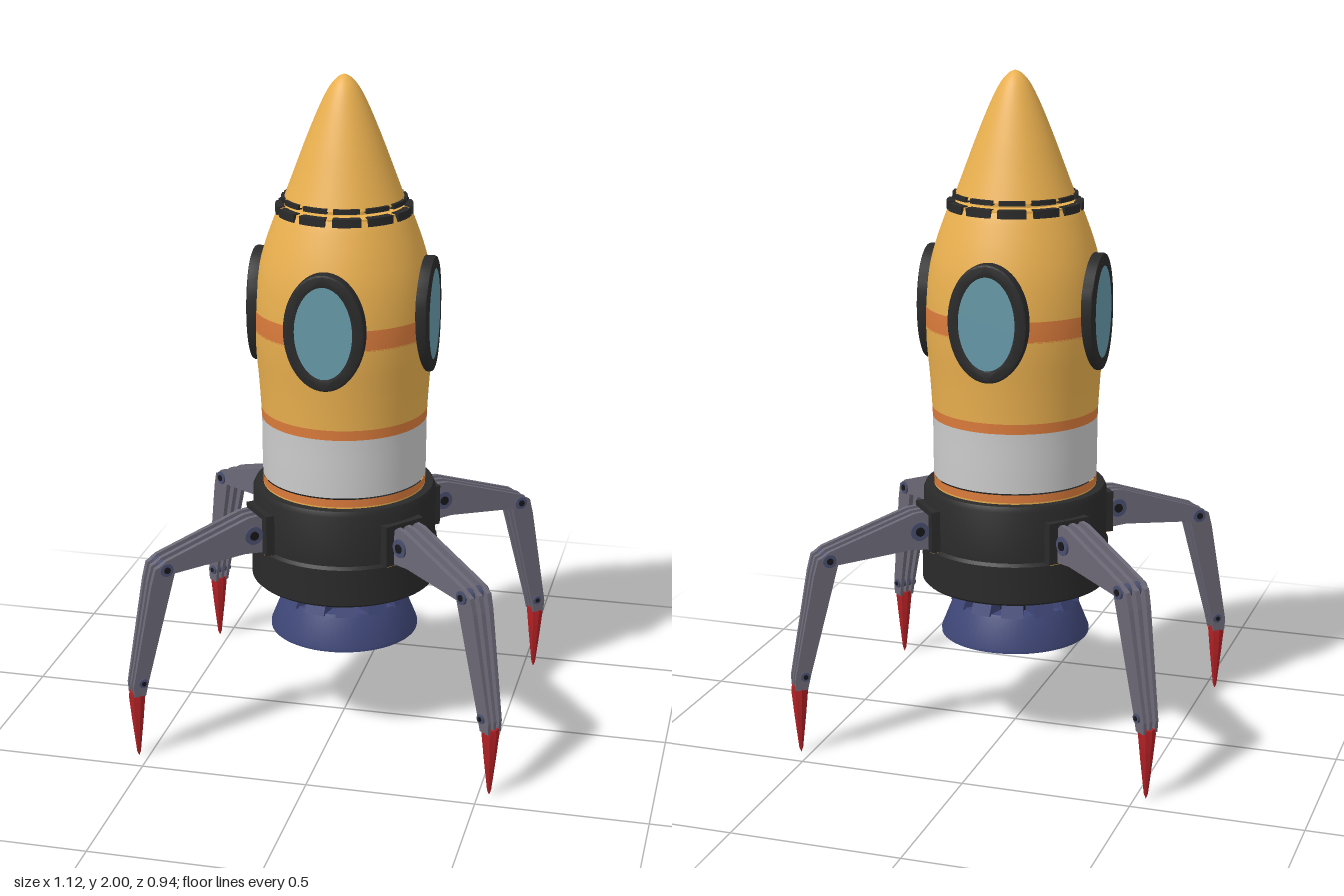
import * as THREE from 'three';
import { toCreasedNormals } from 'three/addons/utils/BufferGeometryUtils.js';

const mat = (color) => new THREE.MeshStandardMaterial({ color, side: THREE.DoubleSide });
const M = {
  yellow: mat(0xeab04f), orange: mat(0xdc7c3c), white: mat(0xdcdcdc), black: mat(0x2a2a2b),
  glass: mat(0x6699a8), blue: mat(0x3f4778), grey: mat(0x6c6977), pivot: mat(0x4a4f6e),
  red: mat(0xb02024), dark: mat(0x17171b),
};

function add(parent, name, geometry, material, x = 0, y = 0, z = 0) {
  const mesh = new THREE.Mesh(geometry, material);
  mesh.name = name;
  mesh.position.set(x, y, z);
  parent.add(mesh);
  return mesh;
}

const V = (pts) => pts.map(([x, y]) => new THREE.Vector2(x, y));
const lathe = (pts, segments = 64) =>
  toCreasedNormals(new THREE.LatheGeometry(V(pts), segments), 0.5);

// Extrude an outline in x/y, centred on z
function plate(shape, depth, curveSegments = 12) {
  const g = new THREE.ExtrudeGeometry(shape, { depth, bevelEnabled: false, curveSegments });
  return g.translate(0, 0, -depth / 2);
}

// Hull profile: radius against height, cut into coloured bands
const hull = new THREE.SplineCurve(V([
  [0.243, 0.74], [0.245, 0.86], [0.246, 0.98], [0.253, 1.1], [0.263, 1.22], [0.264, 1.32],
  [0.253, 1.42], [0.233, 1.5], [0.205, 1.58], [0.19, 1.615],
])).getPoints(300);

function hullBand(y0, y1) {
  const inside = hull.filter((p) => p.y >= y0 - 0.002 && p.y <= y1 + 0.002);
  const pts = inside.filter((p, i) => i % 6 === 0 || i === inside.length - 1);
  return new THREE.LatheGeometry(pts, 64);
}

function buildHull(root) {
  const bands = [
    ['lowerHull', 0.74, 0.775, 'yellow'], ['lowerStripe', 0.775, 0.8, 'orange'],
    ['whiteBand', 0.8, 0.98, 'white'], ['middleStripe', 0.98, 1.012, 'orange'],
    ['cabinLower', 1.012, 1.255, 'yellow'], ['windowStripe', 1.255, 1.315, 'orange'],
    ['cabinUpper', 1.315, 1.615, 'yellow'],
  ];
  for (const [name, y0, y1, m] of bands) add(root, name, hullBand(y0, y1), M[m]);

  // Neck and nose cone
  add(root, 'neck', lathe([[0.19, 1.615], [0.19, 1.62], [0.15, 1.624], [0.15, 1.645]]), M.yellow);
  const nose = new THREE.SplineCurve(V([
    [0.176, 1.64], [0.146, 1.72], [0.112, 1.81], [0.075, 1.9], [0.045, 1.96], [0.02, 1.99], [0, 2],
  ])).getPoints(40);
  nose[40].x = 0;
  add(root, 'noseCone', new THREE.LatheGeometry(nose, 64), M.yellow);
  add(root, 'noseUnderside', lathe([[0.1, 1.64], [0.176, 1.64]]), M.yellow);

  // Two rows of short dark segments around the neck
  const count = 12, arc = (Math.PI * 2 / count) * 0.8;
  for (const [ri, ro, y, h] of [[0.175, 0.2, 1.6, 0.024], [0.165, 0.183, 1.634, 0.014]]) {
    const s = new THREE.Shape();
    s.absarc(0, 0, ro, 0, arc, false);
    s.absarc(0, 0, ri, arc, 0, true);
    const g = plate(s, h, 8).rotateX(-Math.PI / 2);
    for (let i = 0; i < count; i++) {
      add(root, 'neckSegment', g, M.black, 0, y + h / 2, 0).rotation.y = (i + 0.1) * Math.PI * 2 / count;
    }
  }
}

// Oval window with a slightly curved frame
function buildWindows(root) {
  const bend = (g) => {
    const p = g.attributes.position;
    for (let i = 0; i < p.count; i++) p.setZ(i, p.getZ(i) - 0.8 * p.getX(i) ** 2 - 0.25 * p.getY(i) ** 2);
    g.computeVertexNormals();
    return toCreasedNormals(g, 0.6);
  };
  const outer = new THREE.Shape().absellipse(0, 0, 0.112, 0.166, 0, Math.PI * 2);
  outer.holes.push(new THREE.Path().absellipse(0, 0, 0.09, 0.142, 0, Math.PI * 2));
  const frame = bend(new THREE.ExtrudeGeometry(outer, {
    depth: 0.045, bevelThickness: 0.006, bevelSize: 0.007, bevelSegments: 2, curveSegments: 32,
  }).translate(0, 0, 0.227));
  const pane = new THREE.Shape().absellipse(0, 0, 0.092, 0.145, 0, Math.PI * 2);
  const glass = plate(pane, 0.03, 32).translate(0, 0, 0.255);
  for (let i = 0; i < 4; i++) {
    const win = new THREE.Group();
    win.name = 'window';
    win.position.y = 1.308;
    win.rotation.y = i * Math.PI / 2;
    add(win, 'windowFrame', frame, M.black);
    add(win, 'windowGlass', glass, M.glass);
    root.add(win);
  }
}

function buildEngine(root) {
  // Dark skirt, hollow underneath
  add(root, 'skirt', lathe([
    [0, 0.56], [0.235, 0.56], [0.235, 0.47], [0.274, 0.47], [0.281, 0.477], [0.281, 0.59],
    [0.275, 0.6], [0.275, 0.755], [0.268, 0.77], [0.24, 0.77],
  ]), M.black);
  // Flared nozzle with a thick rim
  add(root, 'nozzle', lathe([
    [0.12, 0.405], [0.185, 0.405], [0.19, 0.395], [0.224, 0.31], [0.224, 0.3], [0.17, 0.3],
    [0.155, 0.33], [0.12, 0.405],
  ]), M.blue);
  add(root, 'nozzleThroat', lathe([[0, 0.4], [0.122, 0.4]]), M.dark);
  add(root, 'engineCore', new THREE.CylinderGeometry(0.135, 0.135, 0.17, 40), M.dark, 0, 0.485, 0);
  // Sloping struts between skirt and nozzle
  const s = new THREE.Shape(V([[0.13, 0.4], [0.194, 0.4], [0.158, 0.49], [0.15, 0.56], [0.12, 0.56]]));
  const strut = plate(s, 0.065);
  for (let i = 0; i < 12; i++) add(root, 'nozzleStrut', strut, M.blue).rotation.y = (i + 0.5) * Math.PI / 6;
}

function pivot(parent, name, x, y, radius, length) {
  const axle = new THREE.CylinderGeometry(radius, radius, length, 20).rotateX(Math.PI / 2);
  add(parent, name, axle, M.pivot, x, y, 0);
  const pin = new THREE.CylinderGeometry(radius * 0.5, radius * 0.5, length + 0.006, 12).rotateX(Math.PI / 2);
  add(parent, name + 'Pin', pin, M.dark, x, y, 0);
}

// One leg, reaching outwards along its own x axis
function buildLeg() {
  const leg = new THREE.Group();
  leg.name = 'leg';
  add(leg, 'hipBracket', new THREE.BoxGeometry(0.04, 0.125, 0.14), M.black, 0.272, 0.66, 0);
  add(leg, 'bracketTrim', new THREE.BoxGeometry(0.036, 0.004, 0.13), M.yellow, 0.272, 0.597, 0);

  const upper = new THREE.Shape(V([
    [0.285, 0.6], [0.285, 0.7], [0.305, 0.718], [0.335, 0.716], [0.6, 0.628], [0.622, 0.612],
    [0.612, 0.588], [0.575, 0.586], [0.35, 0.605],
  ]));
  const lower = new THREE.Shape(V([
    [0.572, 0.585], [0.58, 0.61], [0.61, 0.618], [0.632, 0.608], [0.645, 0.56], [0.706, 0.24],
    [0.704, 0.205], [0.668, 0.205], [0.658, 0.25],
  ]));
  for (const z of [-0.034, 0, 0.034]) {
    add(leg, 'upperArmPlate', plate(upper, 0.014), M.grey, 0, 0, z);
    // Lower plates draw together towards the ankle
    const g = plate(lower, 0.016).translate(0, 0, z * 0.95);
    const p = g.attributes.position;
    for (let i = 0; i < p.count; i++) {
      p.setZ(i, p.getZ(i) * THREE.MathUtils.mapLinear(p.getY(i), 0.2, 0.62, 0.6, 1));
    }
    g.computeVertexNormals();
    add(leg, 'lowerArmPlate', g, M.grey);
  }
  pivot(leg, 'hipPivot', 0.32, 0.66, 0.028, 0.094);
  pivot(leg, 'kneePivot', 0.598, 0.602, 0.02, 0.092);
  pivot(leg, 'anklePivot', 0.676, 0.248, 0.014, 0.064);

  // Pointed foot
  const foot = new THREE.LatheGeometry(V([[0, 0], [0.006, 0.015], [0.018, 0.12], [0.026, 0.2], [0.024, 0.215], [0, 0.215]]), 8);
  add(leg, 'foot', toCreasedNormals(foot, 0.4), M.red, 0.687, 0, 0);
  return leg;
}

export function createModel() {
  const root = new THREE.Group();
  root.name = 'rocket';
  buildHull(root);
  buildWindows(root);
  buildEngine(root);
  const spread = THREE.MathUtils.degToRad(39.4);
  for (const a of [spread, -spread, Math.PI - spread, Math.PI + spread]) {
    const leg = buildLeg();
    leg.rotation.y = a;
    root.add(leg);
  }
  return root;
}
